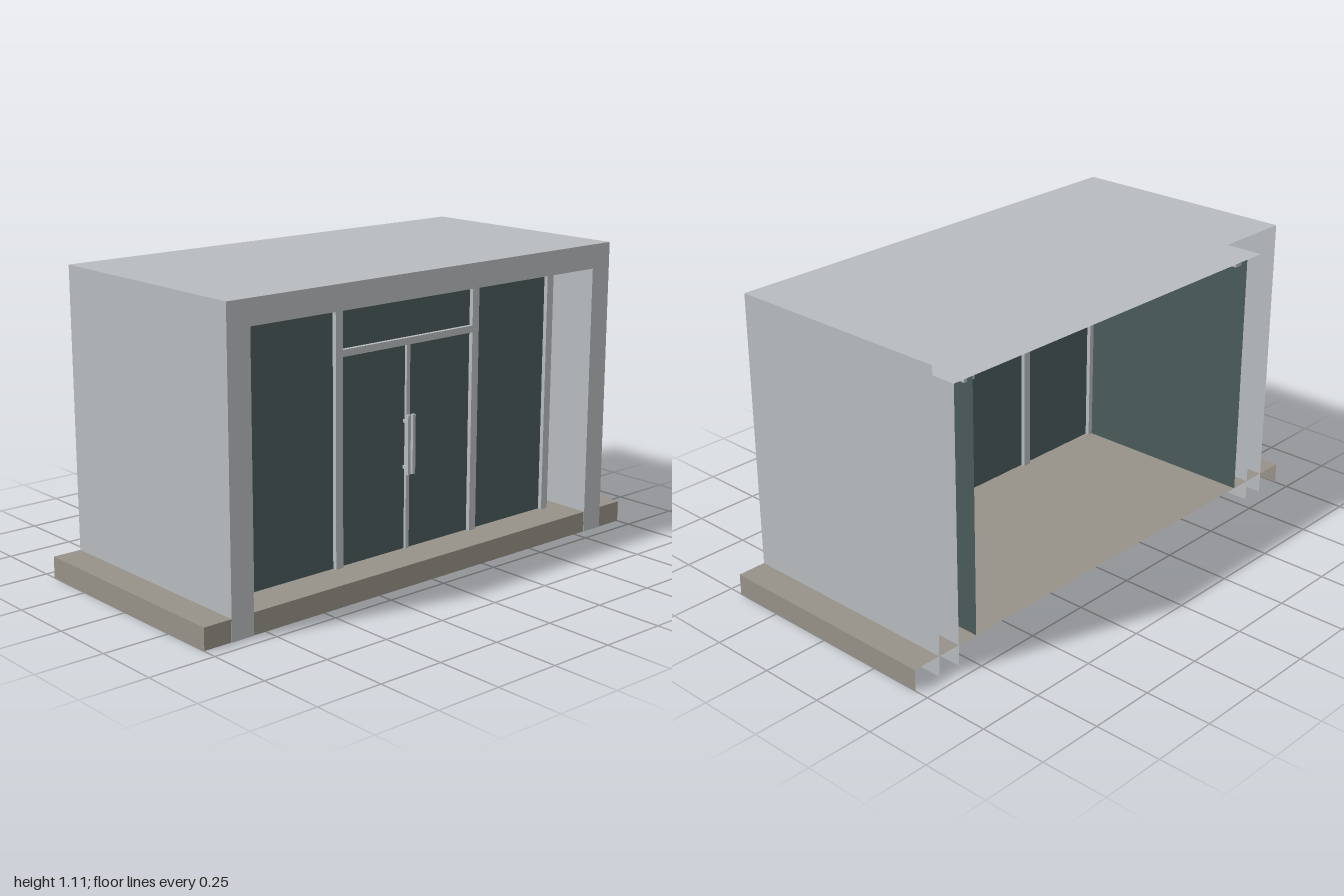
import * as THREE from 'three';

export function createModel() {
  const model = new THREE.Group();
  const material = (name, color) => {
    const m = new THREE.MeshStandardMaterial({ color, side: THREE.DoubleSide });
    m.name = name;
    return m;
  };
  const metal = material('light grey metal', 0xb8bcbf);
  const glass = material('dark green glass', 0x4a5b5a);
  const stone = material('warm grey stone', 0x979288);

  const FRONT = 0.445, BACK = -0.445, DEPTH = FRONT - BACK;
  const FLOOR = 0.08, CEILING = 1.02, ROOF = 1.11;
  const OUTER = 0.89, INNER = 0.8;   // half widths of the portal
  const GLAZING = 0.3;               // z of the shop front

  function add(name, geometry, mat, x, y, z, parent = model) {
    const mesh = new THREE.Mesh(geometry, mat);
    mesh.name = name;
    mesh.position.set(x, y, z);
    parent.add(mesh);
    return mesh;
  }
  // Box given by its limits on each axis
  const box = (name, mat, [x0, x1], [y0, y1], [z0, z1]) =>
    add(name, new THREE.BoxGeometry(x1 - x0, y1 - y0, z1 - z0), mat,
      (x0 + x1) / 2, (y0 + y1) / 2, (z0 + z1) / 2);
  // Single sheets: level (normal +-y), upright facing sideways (normal +-x), upright facing forward
  const level = (name, mat, halfWidth, y, up) =>
    add(name, new THREE.PlaneGeometry(halfWidth * 2, DEPTH).rotateX(up ? -Math.PI / 2 : Math.PI / 2), mat, 0, y, 0);
  const sideways = (name, mat, x, y0, y1, z0, z1, dir) =>
    add(name, new THREE.PlaneGeometry(z1 - z0, y1 - y0).rotateY(dir * Math.PI / 2), mat,
      x, (y0 + y1) / 2, (z0 + z1) / 2);
  const forward = (name, mat, halfWidth, y0, y1, z) =>
    add(name, new THREE.PlaneGeometry(halfWidth * 2, y1 - y0), mat, 0, (y0 + y1) / 2, z);

  // Platform, open underneath and at the back
  level('platformTop', stone, 1, FLOOR, true);
  forward('platformFront', stone, 1, 0, FLOOR, FRONT - 0.002);
  for (const s of [-1, 1]) sideways('platformEnd', stone, s, 0, FLOOR, BACK, FRONT, s);

  // Hollow portal: front face, roof, ceiling and the two skins of each wall
  const face = new THREE.Shape([
    [-OUTER, 0], [-INNER, 0], [-INNER, CEILING], [INNER, CEILING],
    [INNER, 0], [OUTER, 0], [OUTER, ROOF], [-OUTER, ROOF],
  ].map(([x, y]) => new THREE.Vector2(x, y)));
  add('portalFace', new THREE.ShapeGeometry(face), metal, 0, 0, FRONT);
  level('roof', metal, OUTER, ROOF, true);
  level('ceiling', metal, INNER, CEILING, false);
  for (const s of [-1, 1]) {
    sideways('outerWall', metal, s * OUTER, 0, ROOF, BACK, FRONT, s);
    sideways('innerWall', metal, s * INNER, 0, CEILING, BACK, FRONT, -s);
  }

  // Glazing
  forward('frontGlass', glass, 0.715, FLOOR, CEILING, GLAZING);
  for (const s of [-1, 1]) {
    sideways('sideGlass', glass, s * 0.718, FLOOR, CEILING, BACK, GLAZING, s);
  }

  // Posts, rails and door bars
  const frameZ = [GLAZING - 0.016, GLAZING + 0.016];
  const mirrored = (s, a, b) => (s > 0 ? [a, b] : [-b, -a]);
  for (const s of [-1, 1]) {
    box('cornerPost', metal, mirrored(s, 0.698, 0.73), [FLOOR, CEILING], frameZ);
    box('doorPost', metal, mirrored(s, 0.307, 0.339), [FLOOR, CEILING], frameZ);
    box('sideTopRail', metal, mirrored(s, 0.685, 0.73), [0.992, CEILING - 0.001], [-0.42, GLAZING - 0.016]);
  }
  box('transomBar', metal, [-0.307, 0.307], [0.828, 0.853], frameZ);
  box('doorMeetingBar', metal, [-0.008, 0.008], [FLOOR, 0.828], [GLAZING - 0.01, GLAZING + 0.01]);

  // Pull handles on short brackets
  for (const s of [-1, 1]) {
    box('doorHandle', metal, mirrored(s, 0.005, 0.018), [0.36, 0.578], [GLAZING + 0.018, GLAZING + 0.03]);
    for (const y of [0.385, 0.553]) {
      box('handleBracket', metal, mirrored(s, 0.006, 0.016), [y - 0.006, y + 0.006], [GLAZING, GLAZING + 0.018]);
    }
  }
  return model;
}
